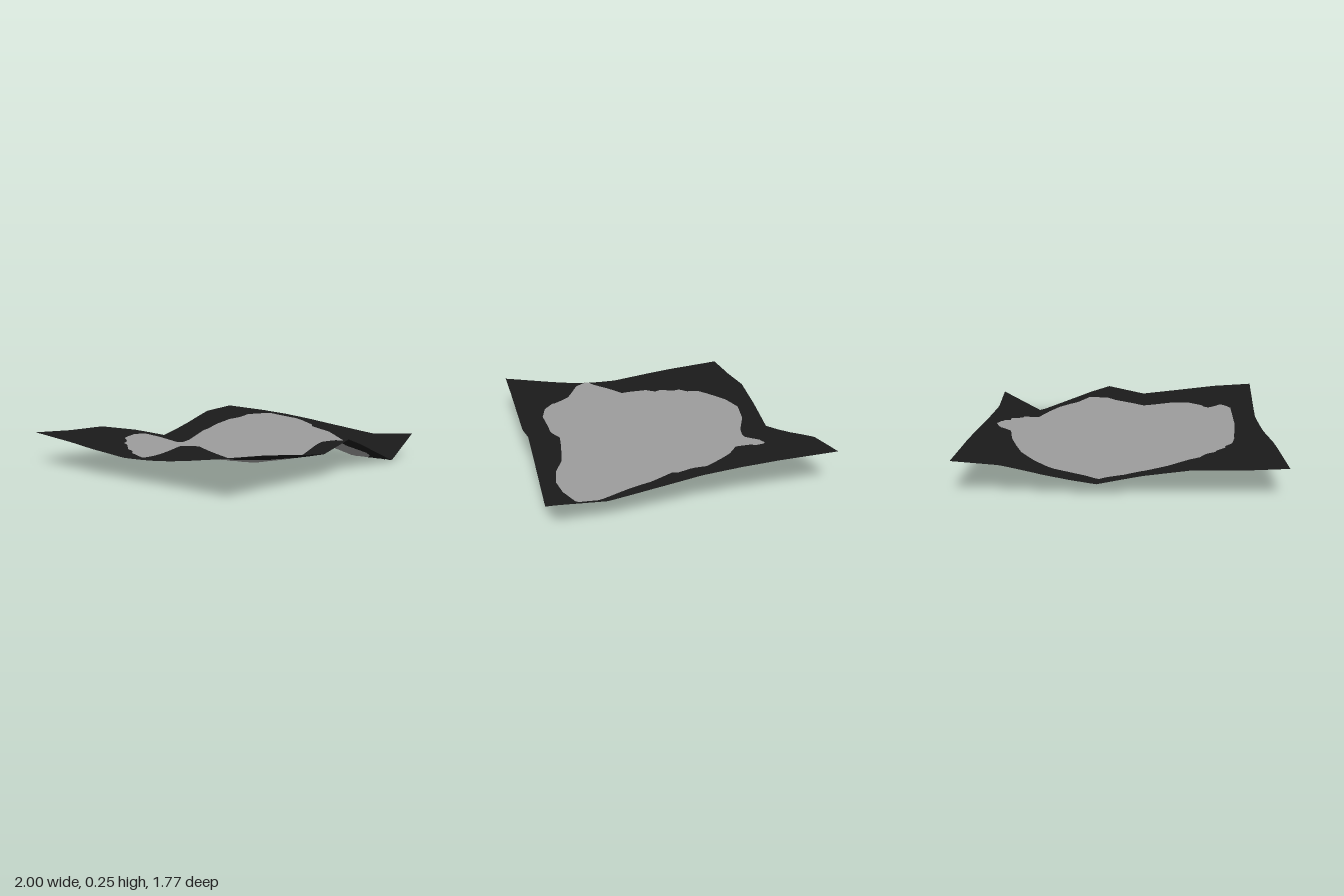
import * as THREE from 'three';

const gridX = [-1, -0.715, -0.43, -0.14, 0.14, 0.29, 0.45, 0.71, 1];
const gridZ = [-0.885, -0.49, -0.26, 0, 0.29, 0.57, 0.885];
// Terrain heights, one row per gridZ from back to front
const heights = [
  [0.218, 0.203, 0.202, 0.155, 0.095, 0.12, 0.155, 0.222, 0.245],
  [0.19, 0.17, 0.14, 0.095, 0.0, 0.045, 0.09, 0.22, 0.235],
  [0.168, 0.125, 0.09, 0.11, 0.088, 0.125, 0.14, 0.25, 0.22],
  [0.148, 0.09, 0.115, 0.185, 0.205, 0.215, 0.165, 0.2, 0.2],
  [0.143, 0.247, 0.09, 0.07, 0.135, 0.172, 0.18, 0.1, 0.17],
  [0.195, 0.17, 0.105, 0.085, 0.16, 0.182, 0.09, 0.0, 0.138],
  [0.245, 0.225, 0.19, 0.155, 0.216, 0.167, 0.104, 0.003, 0.163],
];

// Irregular outline of the pale patch, as x, z pairs
const patchOutline = [
  [-0.155, -0.73], [-0.02, -0.71], [0.085, -0.65], [0.22, -0.625], [0.41, -0.65], [0.54, -0.62],
  [0.63, -0.565], [0.71, -0.43], [0.735, -0.32], [0.81, -0.25], [0.84, -0.18], [0.88, -0.07],
  [0.855, 0.03], [0.85, 0.1], [0.82, 0.13], [0.84, 0.27], [0.81, 0.4], [0.8, 0.59], [0.73, 0.68],
  [0.62, 0.76], [0.54, 0.785], [0.45, 0.765], [0.38, 0.715], [0.27, 0.695], [0.085, 0.67],
  [-0.075, 0.69], [-0.235, 0.695], [-0.38, 0.705], [-0.5, 0.67], [-0.54, 0.64], [-0.6, 0.59],
  [-0.635, 0.465], [-0.715, 0.385], [-0.78, 0.295], [-0.795, 0.13], [-0.775, -0.055],
  [-0.745, -0.19], [-0.69, -0.25], [-0.69, -0.295], [-0.62, -0.38], [-0.61, -0.425],
  [-0.545, -0.47], [-0.5, -0.55], [-0.42, -0.6], [-0.29, -0.685],
];
// Outer edge of the sheet with its shallow dents
const sheetOutline = [
  [-1, -0.885], [-0.43, -0.885], [0.14, -0.825], [0.715, -0.885], [1, -0.885], [0.972, 0],
  [1, 0.885], [-1, 0.885], [-0.965, 0.29], [-1, -0.3],
];

function cell(list, v) {
  let i = 0;
  while (i < list.length - 2 && v > list[i + 1]) i++;
  return [i, THREE.MathUtils.clamp((v - list[i]) / (list[i + 1] - list[i]), 0, 1)];
}

function heightAt(x, z) {
  const [i, u] = cell(gridX, x);
  const [j, v] = cell(gridZ, z);
  const { lerp } = THREE.MathUtils;
  return lerp(lerp(heights[j][i], heights[j][i + 1], u), lerp(heights[j + 1][i], heights[j + 1][i + 1], u), v);
}

// Distance from the centre to an outline in a given direction
function reach(outline, angle) {
  const dx = Math.cos(angle), dz = Math.sin(angle);
  let best = 0;
  outline.forEach(([ax, az], k) => {
    const [bx, bz] = outline[(k + 1) % outline.length];
    const ex = bx - ax, ez = bz - az;
    const det = dx * ez - dz * ex;
    if (Math.abs(det) < 1e-9) return;
    const t = (ax * ez - az * ex) / det;
    const s = (ax * dz - az * dx) / det;
    if (t > 0 && s > -1e-6 && s < 1 + 1e-6) best = Math.max(best, t);
  });
  return best;
}

// Directions: even spokes plus every outline corner
const angles = [...patchOutline, ...sheetOutline].map(([x, z]) => Math.atan2(z, x));
for (let k = 0; k < 240; k++) angles.push(-Math.PI + (k / 240) * Math.PI * 2);
angles.sort((a, b) => a - b);

// Terrain ring between two radius functions
function ringSurface(inner, outer, rings) {
  const positions = [], normals = [], indices = [];
  const n = angles.length;
  const spans = angles.map((a) => [inner(a), outer(a)]);
  for (let r = 0; r <= rings; r++) {
    angles.forEach((a, k) => {
      const d = THREE.MathUtils.lerp(...spans[k], r / rings);
      const x = d * Math.cos(a), z = d * Math.sin(a);
      positions.push(x, heightAt(x, z), z);
      normals.push(0, 1, 0);
    });
  }
  // Upward-facing winding
  for (let r = 0; r < rings; r++) {
    for (let k = 0; k < n; k++) {
      const a = r * n + k, b = r * n + (k + 1) % n;
      indices.push(a, b, b + n, a, b + n, a + n);
    }
  }
  const geometry = new THREE.BufferGeometry();
  geometry.setAttribute('position', new THREE.Float32BufferAttribute(positions, 3));
  geometry.setAttribute('normal', new THREE.Float32BufferAttribute(normals, 3));
  geometry.setIndex(indices);
  return geometry;
}

export function createModel() {
  const paleGrey = new THREE.MeshStandardMaterial({ color: 0x9c9c9c, side: THREE.DoubleSide });
  paleGrey.name = 'paleGrey';
  const charcoal = new THREE.MeshStandardMaterial({ color: 0x1a1a1a, side: THREE.DoubleSide });
  charcoal.name = 'charcoal';

  const group = new THREE.Group();
  group.name = 'groundSheet';
  const patchEdge = (a) => reach(patchOutline, a);
  const sheetEdge = (a) => reach(sheetOutline, a);

  const patch = new THREE.Mesh(ringSurface(() => 0, patchEdge, 30), paleGrey);
  patch.name = 'centrePatch';
  const border = new THREE.Mesh(ringSurface(patchEdge, sheetEdge, 10), charcoal);
  border.name = 'darkBorder';
  group.add(patch, border);
  return group;
}
